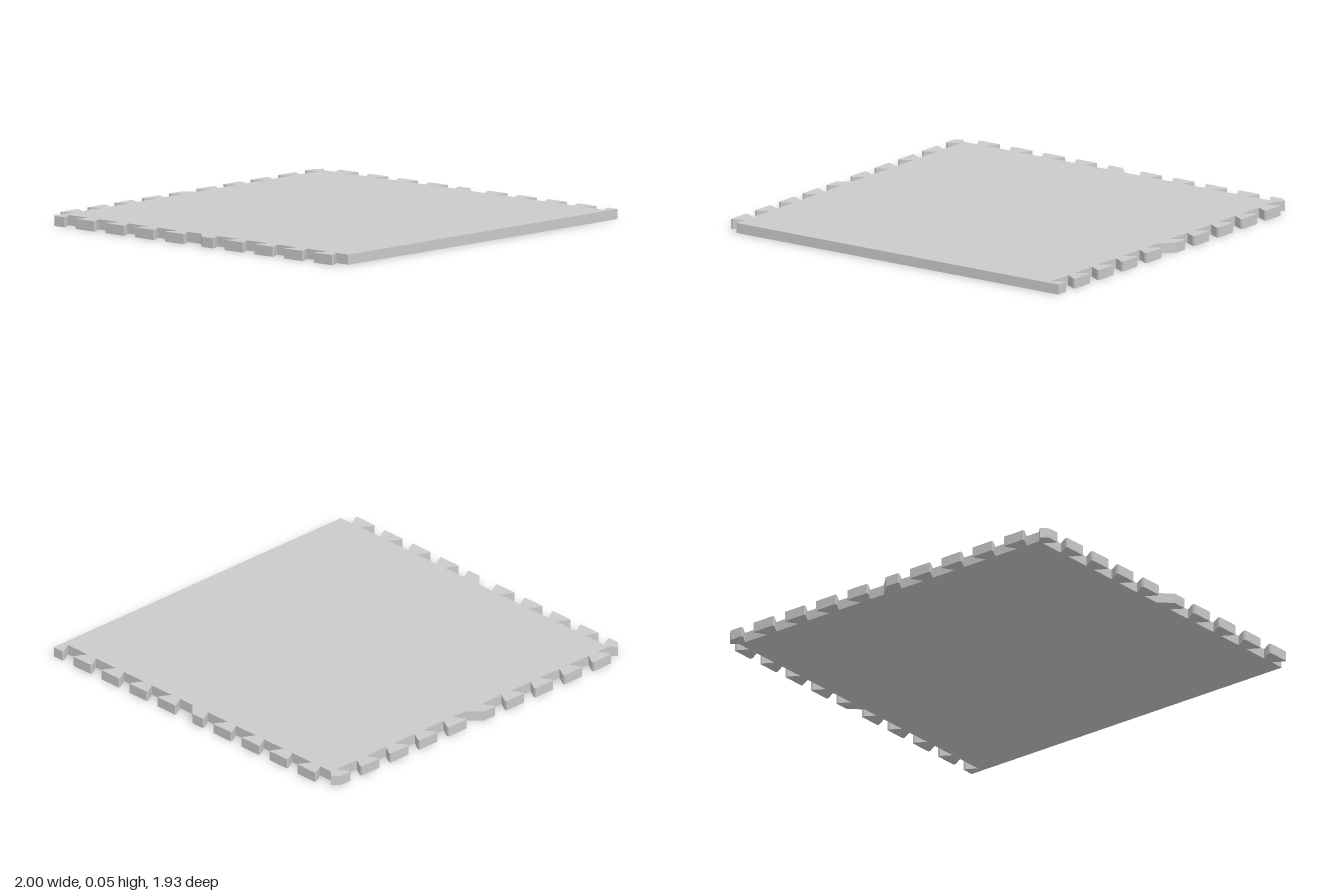
import * as THREE from 'three';

const DEPTH = 0.065;     // how far the teeth reach beyond the body
const LIP = 0.012;       // straight part at the tip of a tooth
const PITCH = 0.1952;
const TIP = 0.06, ROOT = 0.029; // half widths of a tooth
const HEIGHT = 0.05;
const EDGE_X = 1 - DEPTH, FRONT = 0.965, BACK = -0.965 + DEPTH;

// Flanks of a dovetail tooth as [position along the edge, reach], dir is the walking direction
const rise = (c, dir) => [[c - dir * ROOT, 0], [c - dir * TIP, DEPTH - LIP], [c - dir * TIP, DEPTH]];
const fall = (c, dir) => rise(c, -dir).reverse();
const tooth = (c, dir) => [...rise(c, dir), ...fall(c, dir)];

function tileOutline() {
  const pts = [];
  const add = (list, place) => list.forEach(p => pts.push(place(...p)));
  const right = (t, d) => [EDGE_X + d, t];
  const back = (t, d) => [t, BACK - d];
  const left = (t, d) => [-EDGE_X - d, t];

  // Front edge is straight and ends in a half tooth on the right
  pts.push([-EDGE_X, FRONT], [1, FRONT]);

  // Right edge, walked from front to back; tooth 4 is the slanted middle one
  add(fall(0.963, -1), right);
  for (let i = 8; i >= 0; i--) {
    const c = -0.794 + PITCH * i;
    if (i === 4) add([[0.065, 0], [0, DEPTH], ...fall(c, -1)], right);
    else add(tooth(c, -1), right);
  }

  // Back right corner with its bevelled half tooth
  pts.push([EDGE_X, BACK], [EDGE_X + DEPTH / 2, BACK - DEPTH / 2], [EDGE_X, BACK - DEPTH]);
  add(fall(0.928, -1), back);

  // Back edge, walked from right to left
  for (let i = 8; i >= 0; i--) {
    const c = -0.829 + PITCH * i;
    if (i === 4) add([[0.033, 0], [-0.032, DEPTH], ...fall(c, -1)], back);
    else add(tooth(c, -1), back);
  }

  // Back left corner
  pts.push([-EDGE_X, BACK], [-EDGE_X - DEPTH / 2, BACK - DEPTH / 2], [-1, BACK]);
  add(fall(-0.898, 1), left);

  // Left edge, walked from back to front
  for (let i = 1; i <= 9; i++) {
    const c = -0.898 + PITCH * i;
    if (i === 5) add([[0, 0], [0.065, DEPTH], ...fall(c, 1)], left);
    else add(tooth(c, 1), left);
  }
  return pts;
}

export function createModel() {
  const group = new THREE.Group();
  group.name = 'interlockingFloorMat';
  const shape = new THREE.Shape(tileOutline().map(([x, z]) => new THREE.Vector2(x, -z)));
  const geometry = new THREE.ExtrudeGeometry(shape, { depth: HEIGHT, bevelEnabled: false });
  geometry.rotateX(-Math.PI / 2);
  const mat = new THREE.Mesh(geometry, new THREE.MeshStandardMaterial({ color: 0xcccccc }));
  mat.name = 'matTile';
  group.add(mat);
  return group;
}
